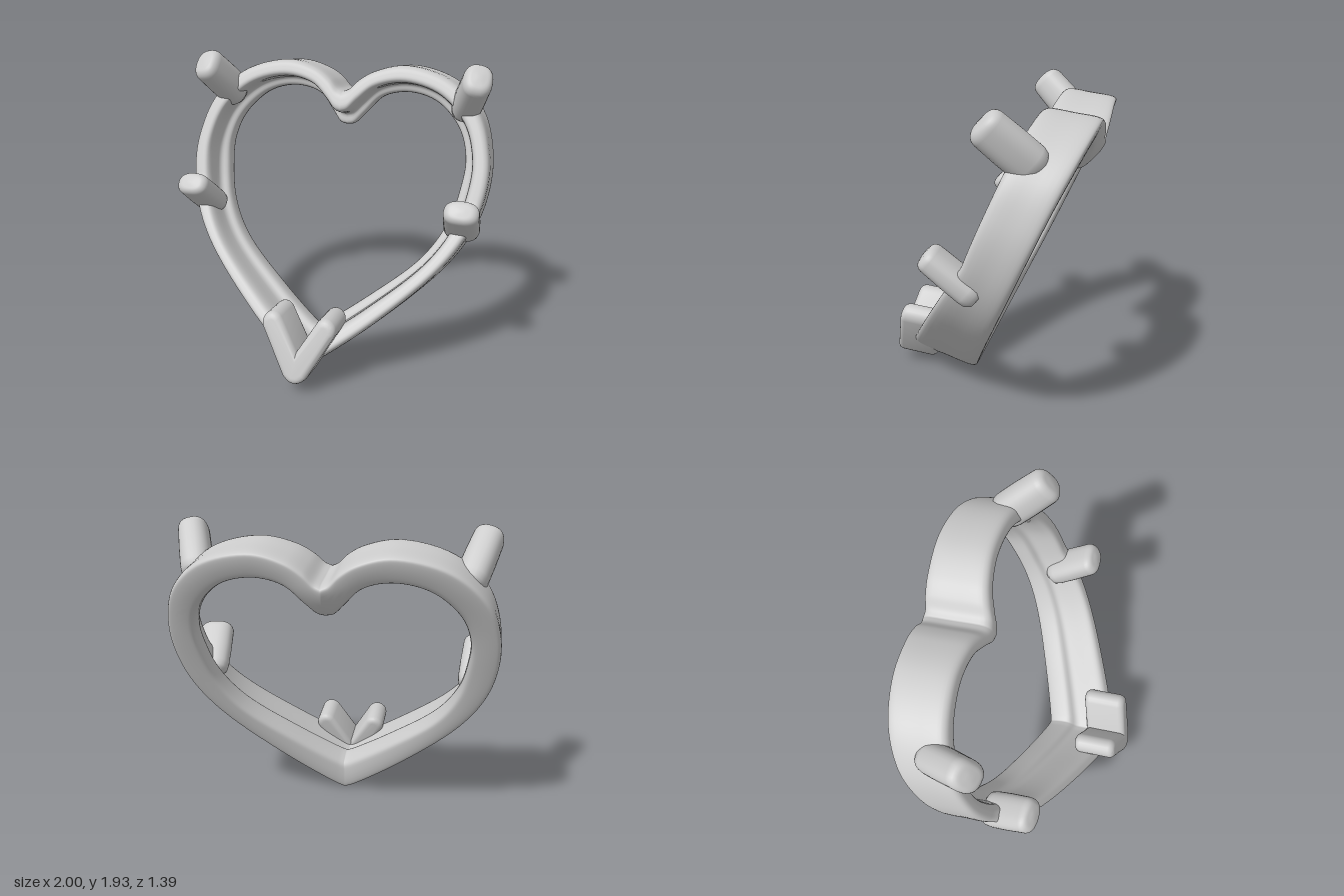
import * as THREE from 'three';
import { mergeVertices, toCreasedNormals } from 'three/addons/utils/BufferGeometryUtils.js';

const material = new THREE.MeshStandardMaterial({ color: 0xcccccc });
const { lerp, smoothstep } = THREE.MathUtils;

// Right half of the heart at its back edge, from bottom tip to top notch
const OUTER = [[0, -0.02], [0.06, 0.01], [0.4, 0.265], [0.78, 0.63], [0.93, 0.87], [0.99, 1.1], [0.985, 1.32],
  [0.9, 1.56], [0.7, 1.74], [0.4, 1.815], [0.2, 1.77], [0.1, 1.71], [0.04, 1.65], [0, 1.63]];
const INNER = [[0, 0.2], [0.04, 0.22], [0.3, 0.4], [0.62, 0.665], [0.755, 0.88], [0.81, 1.1], [0.82, 1.28],
  [0.76, 1.45], [0.6, 1.6], [0.4, 1.65], [0.22, 1.61], [0.11, 1.5], [0.045, 1.435], [0, 1.425]];

// Band section: [0 outer..1 inner, 0 front..1 back], with a stone seat inside
const SECTION = [[0.1, 0.02], [0.01, 0.1], [0, 0.5], [0, 0.88], [0.06, 0.97], [0.2, 1], [0.7, 1], [0.93, 0.96],
  [1, 0.85], [1, 0.68], [0.94, 0.6], [0.74, 0.53], [0.67, 0.45], [0.61, 0.12], [0.52, 0.02], [0.3, 0]];

const spline = (points, closed) => new THREE.CatmullRomCurve3(
  points.map(([x, y]) => new THREE.Vector3(x, y, 0)), closed, 'centripetal');

// The band leans back: its front and back depths follow the height
const frontZ = (y) => Math.max(0.67 - 0.63 * y, 0.44 - 0.42 * y);
const backZ = (x, y) => 0.14 - 0.45 * y
  - smoothstep(y, 1.3, 1.63) * (0.02 * (1 - x * x) + 0.07 * Math.max(0, 1 - x / 0.4) ** 2);

function heartBand() {
  const half = 90, around = 56;
  const outer = spline(OUTER), inner = spline(INNER);
  const section = spline(SECTION, true).getPoints(around).slice(0, around);
  const positions = [], index = [];
  const rings = 2 * half;
  for (let i = 0; i < rings; i++) {
    const mirrored = i > half;
    const t = (mirrored ? rings - i : i) / half;
    const o = outer.getPoint(t), n = inner.getPoint(t);
    // The lower arms rise more towards the front and have a flatter back
    const upper = smoothstep(o.y, 0.8, 1.4);
    const rise = lerp(0.32, 0.15, upper), tilt = lerp(0.45, 1, upper);
    for (const { x: u, y: v } of section) {
      const x = lerp(o.x, n.x, u), y = lerp(o.y, n.y, u);
      const zf = frontZ(y + lerp(0.1, 0.06, upper)), zb = backZ(x, lerp(o.y, y, tilt));
      positions.push(mirrored ? -x : x, y + rise * (1 - v) * (zf - zb), lerp(zf, zb, v));
    }
  }
  for (let i = 0; i < rings; i++) {
    for (let j = 0; j < around; j++) {
      const k = (i + 1) % rings, l = (j + 1) % around;
      const a = i * around + j, b = i * around + l, c = k * around + l, d = k * around + j;
      index.push(a, b, d, b, c, d);
    }
  }
  const g = new THREE.BufferGeometry();
  g.setAttribute('position', new THREE.Float32BufferAttribute(positions, 3));
  g.setIndex(index);
  g.computeVertexNormals();
  return g;
}

// Rounded prong from base to tip; halfX is its half width, halfZ its half thickness
function prong(base, tip, halfX, halfZ) {
  const axis = tip.clone().sub(base);
  const length = axis.length(), r = Math.min(halfX, halfZ) * 0.6;
  const profile = [[0, 0], [0.7, 0], [0.95, 0.03], [1, 0.07], [1, length * 0.5], [0.96, length - r]];
  for (let k = 1; k <= 6; k++) {
    const a = (k / 6) * Math.PI / 2;
    profile.push([0.5 + 0.46 * Math.cos(a), length - r + r * Math.sin(a)]);
  }
  profile.push([0.25, length + 0.004], [0, length + 0.005]);
  let g = new THREE.LatheGeometry(profile.map(([x, y]) => new THREE.Vector2(x, y)), 32);
  g.deleteAttribute('uv');
  g.deleteAttribute('normal');
  // Square the round section slightly, then stretch it
  const p = g.attributes.position;
  for (let i = 0; i < p.count; i++) {
    const x = p.getX(i), z = p.getZ(i), radius = Math.hypot(x, z) || 1;
    const bend = (c) => Math.sign(c) * Math.abs(c / radius) ** 0.8 * radius;
    p.setX(i, bend(x) * halfX);
    p.setZ(i, bend(z) * halfZ);
  }
  g = mergeVertices(g, 1e-5);
  const Y = axis.normalize();
  const X = new THREE.Vector3(1, 0, 0).addScaledVector(Y, -Y.x).normalize();
  const Z = new THREE.Vector3().crossVectors(X, Y);
  g.applyMatrix4(new THREE.Matrix4().makeBasis(X, Y, Z).setPosition(base));
  g.computeVertexNormals();
  return g;
}

// V-shaped guard around the bottom tip, leaning back with height
function tipGuard() {
  const bevel = 0.04;
  const v = new THREE.Shape();
  v.moveTo(0, 0.2);
  v.lineTo(-0.148, 0.425);
  v.quadraticCurveTo(-0.17, 0.45, -0.19, 0.425);
  v.quadraticCurveTo(-0.2, 0.41, -0.19, 0.39);
  v.lineTo(-0.045, 0.13);
  v.quadraticCurveTo(0, 0.075, 0.045, 0.13);
  v.lineTo(0.19, 0.39);
  v.quadraticCurveTo(0.2, 0.41, 0.19, 0.425);
  v.quadraticCurveTo(0.17, 0.45, 0.148, 0.425);
  v.closePath();
  const g = new THREE.ExtrudeGeometry(v, {
    depth: 0.2, bevelEnabled: true, bevelSize: bevel, bevelThickness: bevel, bevelSegments: 5, curveSegments: 6 });
  g.translate(0, 0, 0.45);
  const p = g.attributes.position;
  for (let i = 0; i < p.count; i++) {
    const y = p.getY(i), z = p.getZ(i);
    p.setY(i, y + 0.12 * (z - 0.6));
    p.setZ(i, z - 0.28 * (y - 0.15));
  }
  return toCreasedNormals(g, 0.8);
}

export function createModel() {
  const model = new THREE.Group();
  model.name = 'heartSetting';
  const add = (name, geometry) => {
    const mesh = new THREE.Mesh(geometry, material);
    mesh.name = name;
    model.add(mesh);
  };

  add('heartBand', heartBand());
  add('tipGuard', tipGuard());

  // Mirrored pairs of prongs
  for (const [side, s] of [['left', 1], ['right', -1]]) {
    const at = (x, y, z) => new THREE.Vector3(s * x, y, z);
    add(`${side}TopProng`, prong(at(0.785, 1.6, -0.4), at(0.9, 1.865, -0.12), 0.095, 0.115));
    add(`${side}MiddleProng`, prong(at(0.86, 0.89, -0.09), at(0.885, 1.13, 0.2), 0.112, 0.08));
  }
  return model;
}
